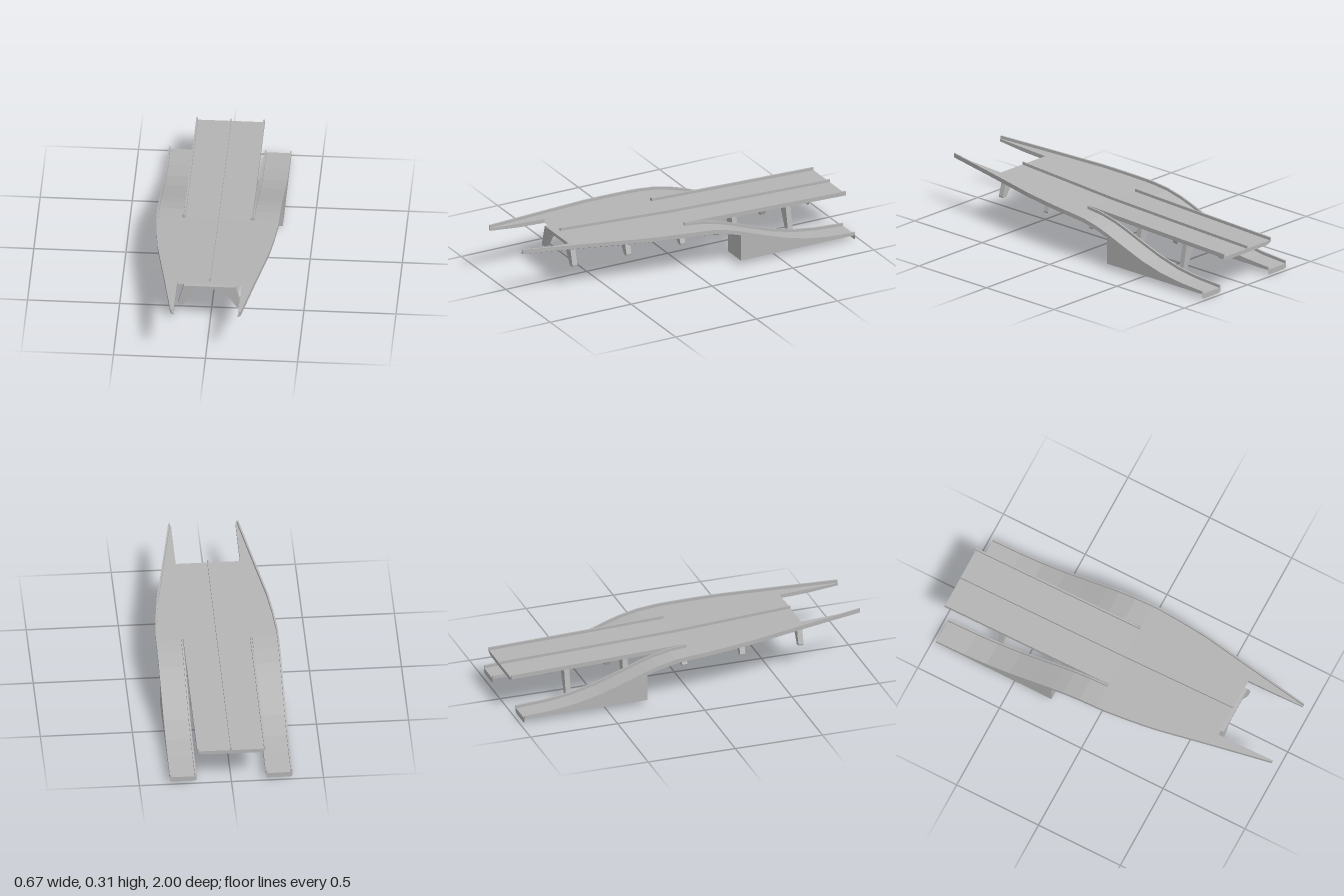
import * as THREE from 'three';

const concrete = new THREE.MeshStandardMaterial({ color: 0xb4b4b4, side: THREE.DoubleSide });

// Linear interpolation through [z, value] pairs listed front to back
const lookup = (table) => (z) => {
  for (let i = 1; i < table.length; i++) {
    const [z0, v0] = table[i - 1], [z1, v1] = table[i];
    if (z >= z1) return v0 + (v1 - v0) * (z0 - z) / (z0 - z1);
  }
  return table[table.length - 1][1];
};

const deckY = lookup([[1, 0.292], [0.665, 0.276], [0.35, 0.259], [0, 0.239], [-0.5, 0.223], [-1, 0.209]]);
const rampY = lookup([[0, 0.239], [-0.1, 0.229], [-0.2, 0.207], [-0.27, 0.185], [-0.4, 0.138],
  [-0.53, 0.093], [-0.67, 0.058], [-0.8, 0.04], [-0.976, 0.029]]);
const outerX = lookup([[1, 0.19], [0.65, 0.25], [0.35, 0.303], [0.2, 0.32], [0.05, 0.332], [0, 0.333], [-1, 0.333]]);

const FRONT = 0.665, RAIL = 0.016, RAIL_W = 0.009, THICK = 0.022, LIP = 0.008, BEVEL = 0.03;
const frontZ = [FRONT, 0.5, 0.35, 0.2, 0.05, 0];
const armZ = [1, 0.83, FRONT];
const backZ = [0, -0.25, -0.5, -0.75, -1];
const rampTopZ = [0, -0.05, -0.1, -0.15, -0.2, -0.27];
const rampLowZ = [-0.27, -0.335, -0.4, -0.465, -0.53, -0.6, -0.67, -0.735, -0.8, -0.89, -0.976];

// Sweep a convex section (counter-clockwise seen from the front) along stations in z
function sweep(zs, section, { mirror = false, capFront = false, capBack = false } = {}) {
  const rings = zs.map((z) => {
    const ring = section(z).map(([x, y]) => [mirror ? -x : x, y, z]);
    return mirror ? ring.reverse() : ring;
  });
  const pos = [];
  const tri = (a, b, c) => pos.push(...a, ...b, ...c);
  for (let j = 0; j + 1 < rings.length; j++) {
    const p = rings[j], q = rings[j + 1];
    p.forEach((a, i) => {
      const k = (i + 1) % p.length;
      tri(a, q[i], q[k]);
      tri(a, q[k], p[k]);
    });
  }
  const f = rings[0], b = rings[rings.length - 1];
  for (let i = 1; i + 1 < f.length; i++) {
    if (capFront) tri(f[0], f[i], f[i + 1]);
    if (capBack) tri(b[0], b[i + 1], b[i]);
  }
  const geo = new THREE.BufferGeometry();
  geo.setAttribute('position', new THREE.Float32BufferAttribute(pos, 3));
  geo.computeVertexNormals();
  return geo;
}

// Slab section with bevelled lower edges
const slab = (x0, x1, y, bevel = BEVEL) => [
  [x0, y - LIP], [x0 + bevel, y - THICK], [x1 - bevel, y - THICK], [x1, y - LIP], [x1, y], [x0, y],
];
const block = (x0, x1, y0, y1) => [[x0, y0], [x1, y0], [x1, y1], [x0, y1]];

export function createModel() {
  const group = new THREE.Group();
  const add = (name, geo) => {
    const mesh = new THREE.Mesh(geo, concrete);
    mesh.name = name;
    group.add(mesh);
    return mesh;
  };
  const capped = { capFront: true, capBack: true };

  // Main road deck: wide front part and narrow rear part
  add('frontDeck', sweep(frontZ, (z) => slab(-outerX(z), outerX(z), deckY(z))));
  add('rearDeck', sweep(backZ, (z) => slab(-0.186, 0.186, deckY(z)), { capBack: true }));
  add('centreBarrier', sweep([...frontZ, ...backZ.slice(1)],
    (z) => block(-0.004, 0.004, deckY(z), deckY(z) + RAIL), capped));

  for (const mirror of [false, true]) {
    const side = mirror ? 'right' : 'left';
    const ends = { mirror, ...capped };

    // Tapering arm beside the front opening
    add(side + 'FrontArm', sweep(armZ, (z) => {
      const x = outerX(z), y = deckY(z), c = Math.min(BEVEL, (x - 0.175) * 0.8);
      const low = y - LIP - (THICK - LIP) * c / BEVEL;
      return [[0.175, low], [x - c, low], [x, y - LIP], [x, y], [0.175, y]];
    }, ends));

    // Side ramp: elevated slab, then solid base and end skirt
    add(side + 'RampSlab', sweep(rampTopZ, (z) => slab(0.188, 0.333, rampY(z)), { mirror }));
    add(side + 'RampBase', sweep(rampLowZ, (z) => block(0.188, 0.333, 0.028, rampY(z)), ends));
    const skirt = new THREE.Shape([[0.188, 0.029], [0.188, 0.006], [0.2, 0], [0.321, 0], [0.333, 0.006], [0.333, 0.029]]
      .map(([x, y]) => new THREE.Vector2(mirror ? -x : x, y)));
    add(side + 'RampSkirt', new THREE.ShapeGeometry(skirt).translate(0, 0, -0.976));

    // Edge barriers
    const rampZ = [...rampTopZ, ...rampLowZ.slice(1)];
    const rail = (x0, x1, y) => block(x0, x1, y - LIP, y + RAIL);
    add(side + 'OuterBarrier', sweep([...armZ, ...frontZ.slice(1), ...rampZ.slice(1)], (z) => {
      const y = z > 0 ? deckY(z) : rampY(z);
      return block(outerX(z) - RAIL_W, outerX(z), y, y + RAIL);
    }, ends));
    add(side + 'RampInnerBarrier', sweep(rampZ,
      (z) => block(0.188, 0.188 + RAIL_W, rampY(z), rampY(z) + RAIL), ends));
    add(side + 'DeckBarrier', sweep(backZ, (z) => rail(0.186 - RAIL_W, 0.186, deckY(z)), ends));
  }

  // Splayed portal piers under the deck
  for (const [z, foot] of [[0.667, 0.13], [0.333, 0.125], [0, 0.117], [-0.333, 0.03], [-0.667, 0.03]]) {
    const top = deckY(z) - THICK;
    const half = [[0.14, top], [0.172, foot + 0.008], [0.17, foot], [0.145, foot], [0.085, top - 0.032], [0.073, top - 0.018]];
    const outline = [...half, ...half.map(([x, y]) => [-x, y]).reverse()];
    const shape = new THREE.Shape(outline.map(([x, y]) => new THREE.Vector2(x, y)));
    const geo = new THREE.ExtrudeGeometry(shape, { depth: 0.03, bevelEnabled: false });
    add('pier', geo.translate(0, 0, z - 0.015));
  }
  return group;
}
